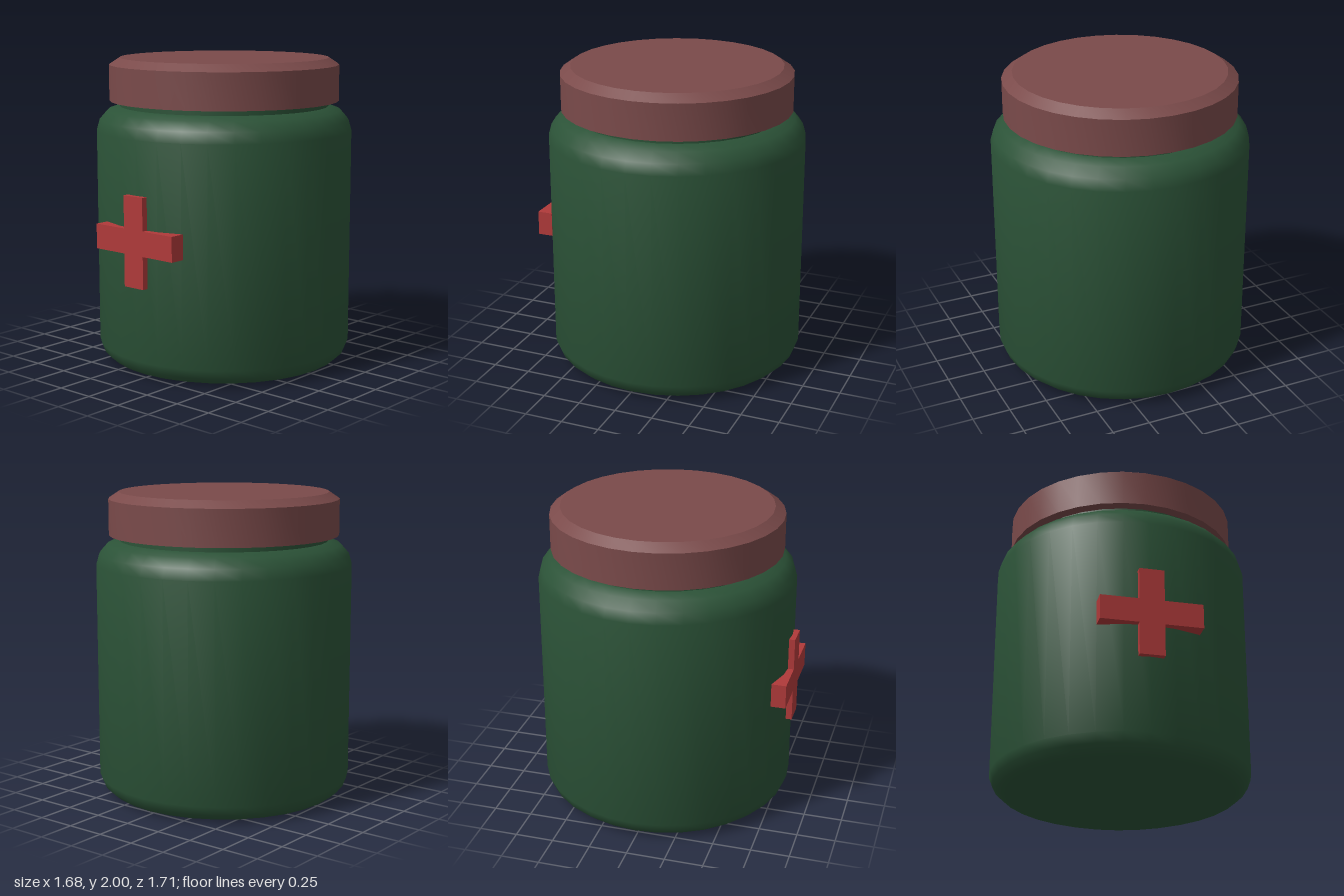
import * as THREE from 'three';
import { toCreasedNormals } from 'three/addons/utils/BufferGeometryUtils.js';

const SIDES = 32;
const CENTRE_Z = -0.015;

function part(name, geometry, color) {
  const mesh = new THREE.Mesh(geometry, new THREE.MeshStandardMaterial({ color }));
  mesh.name = name;
  return mesh;
}

function turned(points) {
  return new THREE.LatheGeometry(points.map(([r, y]) => new THREE.Vector2(r, y)), SIDES);
}

export function createModel() {
  const group = new THREE.Group();
  group.name = 'medicineJar';

  // Jar body with rounded base and shoulder
  const body = part('jarBody', toCreasedNormals(turned([
    [0, 0], [0.71, 0], [0.77, 0.02], [0.815, 0.06], [0.838, 0.12],
    [0.838, 1.53], [0.818, 1.6], [0.765, 1.66], [0.685, 1.685],
  ]), 0.75), 0x2b5237);
  body.position.z = CENTRE_Z;

  // Neck between shoulder and lid
  const neck = part('neck', new THREE.CylinderGeometry(0.685, 0.685, 0.1, SIDES, 1, true), 0x2b5237);
  neck.position.set(0, 1.73, CENTRE_Z);

  // Lid with bevelled top edge
  const lid = part('lid', toCreasedNormals(turned([
    [0, 1.72], [0.753, 1.72], [0.753, 1.955], [0.685, 2], [0, 2],
  ]), 0.5), 0x7a4a4a);
  lid.position.z = CENTRE_Z;

  // Raised cross on the front
  const w = 0.08, a = 0.325, h = 0.29;
  const outline = [
    [-w, -h], [w, -h], [w, -w], [a, -w], [a, w], [w, w],
    [w, h], [-w, h], [-w, w], [-a, w], [-a, -w], [-w, -w],
  ].map(([x, y]) => new THREE.Vector2(x, y));
  const cross = part('cross', new THREE.ExtrudeGeometry(new THREE.Shape(outline),
    { depth: 0.1, bevelEnabled: false }), 0xb03a3a);
  cross.position.set(0.005, 0.895, 0.755);

  group.add(body, neck, lid, cross);
  return group;
}
